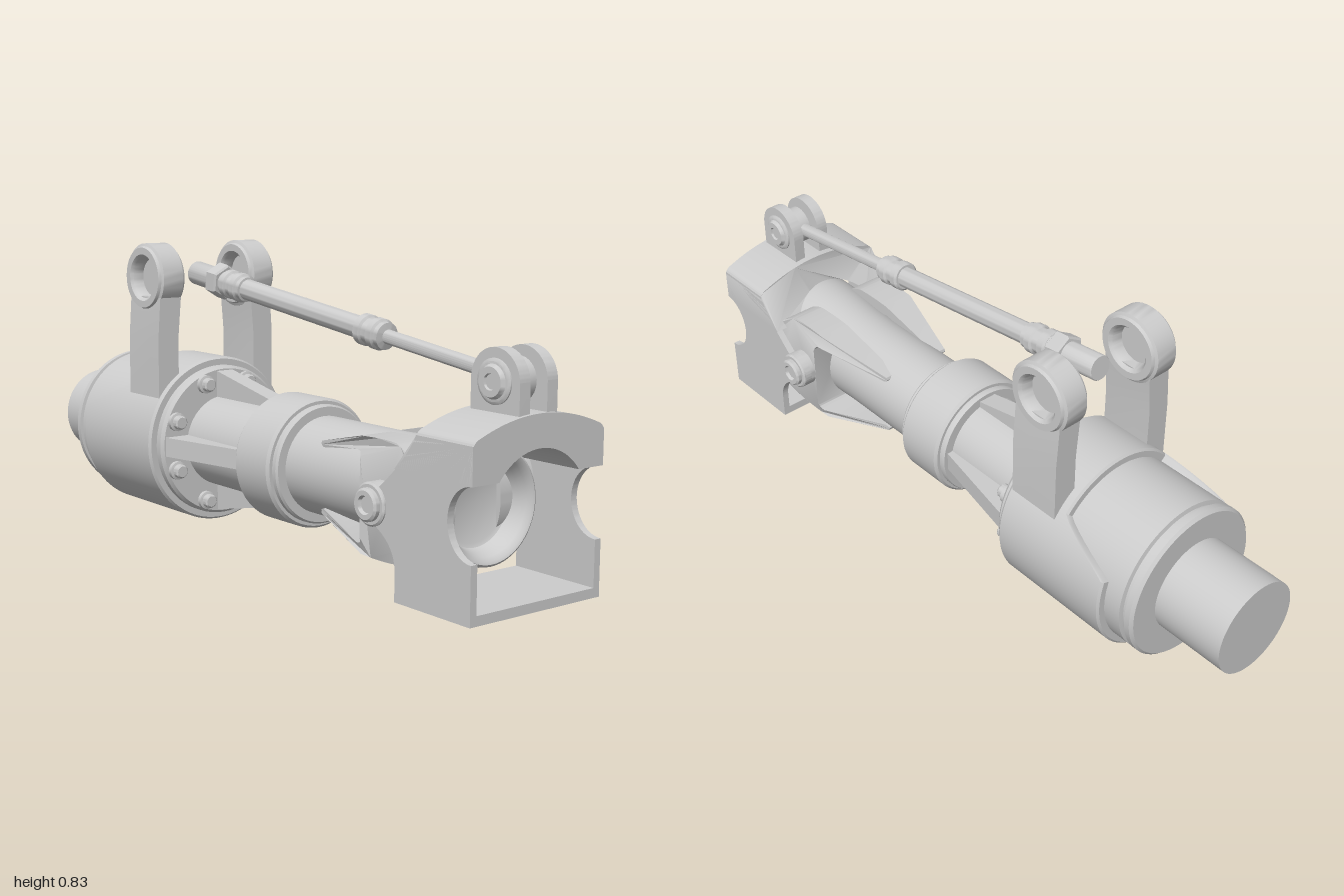
import * as THREE from 'three';
import { toCreasedNormals } from 'three/addons/utils/BufferGeometryUtils.js';

const CY = 0.25; // height of the main axis

export function createModel() {
  const model = new THREE.Group();
  const mat = new THREE.MeshStandardMaterial({ color: 0xcccccc, side: THREE.DoubleSide });

  const add = (name, geo, parent = model) => {
    const mesh = new THREE.Mesh(toCreasedNormals(geo, 0.6), mat);
    mesh.name = name;
    parent.add(mesh);
    return mesh;
  };
  // solid of revolution around z, from [radius, z] pairs
  const turned = (pts, sides = 64) =>
    new THREE.LatheGeometry(pts.map(([r, z]) => new THREE.Vector2(r, z)), sides).rotateX(Math.PI / 2);
  // turned solid laid along x, outer end pointing to side s
  const turnedX = (pts, s, sides = 40) => turned(pts, sides).rotateY(s * Math.PI / 2);
  const extrude = (shape, depth) =>
    new THREE.ExtrudeGeometry(shape, { depth, bevelEnabled: false, curveSegments: 24 });
  // (z, y) profile extruded from x0 to x1
  const sideways = (shape, x0, x1) => extrude(shape, x1 - x0).rotateY(-Math.PI / 2).translate(x1, 0, 0);
  const span = (s, a, b) => (s > 0 ? [a, b] : [-b, -a]);
  const poly = (pts) => new THREE.Shape(pts.map(([x, y]) => new THREE.Vector2(x, y)));

  // rear shaft and cylindrical housing
  add('rearShaft', turned([[0, -1], [0.135, -1], [0.135, -0.7]])).position.y = CY;
  add('housing', turned([
    [0.1, -0.785], [0.214, -0.785], [0.222, -0.777], [0.222, -0.76], [0.21, -0.757], [0.21, -0.745],
    [0.222, -0.742], [0.222, -0.29], [0.214, -0.28], [0.1, -0.28],
  ])).position.y = CY;

  // saddle wrapped around the housing, longer below than above
  const saddle = turned([
    [0.2, -0.69], [0.24, -0.69], [0.246, -0.684], [0.246, -0.318], [0.24, -0.31], [0.2, -0.31],
  ], 96);
  const sp = saddle.attributes.position;
  for (let i = 0; i < sp.count; i++) {
    if (sp.getZ(i) > -0.5) continue;
    const level = sp.getY(i) / Math.hypot(sp.getX(i), sp.getY(i));
    const t = THREE.MathUtils.clamp((level - 0.33) / 0.32, 0, 1);
    sp.setZ(i, sp.getZ(i) + 0.18 * t);
  }
  add('saddle', saddle).position.y = CY;

  // flange bolts
  for (let i = 0; i < 8; i++) {
    const a = (i + 0.5) * Math.PI / 4;
    const bolt = add('flangeBolt', turned([
      [0.027, -0.29], [0.027, -0.268], [0.02, -0.266], [0.02, -0.25], [0.016, -0.246], [0, -0.246]], 16));
    bolt.position.set(0.188 * Math.cos(a), CY + 0.188 * Math.sin(a), 0);
  }

  // main tube with flared, dished front end
  add('mainTube', turned([
    [0.135, -0.3], [0.135, 0.5], [0.138, 0.6], [0.147, 0.7], [0.152, 0.78], [0.152, 0.835],
    [0.149, 0.846], [0.143, 0.85], [0.136, 0.847], [0.127, 0.835], [0.119, 0.815], [0.113, 0.79], [0.103, 0.785], [0, 0.785],
  ])).position.y = CY;

  // collar
  add('collar', turned([
    [0.13, 0.008], [0.163, 0.008], [0.165, 0.012], [0.165, 0.026], [0.174, 0.026], [0.181, 0.034], [0.181, 0.172],
    [0.174, 0.18], [0.165, 0.18], [0.165, 0.194], [0.16, 0.2], [0.13, 0.2],
  ])).position.y = CY;

  // tapered ribs between collar and flange
  for (let i = 0; i < 4; i++) {
    const rib = add('rib', sideways(poly([[0.01, 0.1], [0.01, 0.15], [-0.285, 0.21], [-0.285, 0.1]]), -0.028, 0.028));
    rib.position.y = CY;
    rib.rotation.z = i * Math.PI / 2;
  }

  for (const s of [1, -1]) {
    // fork pad on the tube: rounded front, two prongs running back
    const pad = new THREE.Shape();
    pad.moveTo(0.33, 0.098);
    pad.lineTo(0.56, 0.15);
    pad.quadraticCurveTo(0.64, 0.155, 0.69, 0.15);
    pad.quadraticCurveTo(0.8, 0.12, 0.8, 0);
    pad.quadraticCurveTo(0.8, -0.12, 0.69, -0.15);
    pad.quadraticCurveTo(0.64, -0.155, 0.56, -0.15);
    pad.lineTo(0.33, -0.098);
    pad.quadraticCurveTo(0.32, -0.085, 0.34, -0.082);
    pad.lineTo(0.56, -0.118);
    pad.quadraticCurveTo(0.58, -0.118, 0.58, -0.1);
    pad.lineTo(0.58, 0.1);
    pad.quadraticCurveTo(0.58, 0.118, 0.56, 0.118);
    pad.lineTo(0.34, 0.082);
    pad.quadraticCurveTo(0.32, 0.085, 0.33, 0.098);
    const padGeo = sideways(pad, ...span(s, 0.075, 0.192));
    const pp = padGeo.attributes.position;
    for (let i = 0; i < pp.count; i++) {
      const z = pp.getZ(i), y = Math.abs(pp.getY(i));
      if (Math.abs(pp.getX(i)) < 0.15) continue;
      const taper = 0.08 * THREE.MathUtils.clamp((0.58 - z) / 0.25, 0, 1);
      const round = z > 0.5 ? 0.022 * THREE.MathUtils.clamp((y - 0.1) / 0.05, 0, 1) : 0;
      pp.setX(i, s * (0.192 - Math.max(taper, round)));
    }
    add('forkPad', padGeo).position.y = CY;

    // bracket side plate with front notch and pivot lobe
    const plate = new THREE.Shape();
    plate.moveTo(0.74, 0.025);
    plate.lineTo(1, 0.025);
    plate.lineTo(1, 0.17);
    plate.absellipse(1, 0.26, 0.08, 0.09, -Math.PI / 2, Math.PI / 2, true);
    plate.lineTo(1, 0.442);
    plate.lineTo(0.81, 0.442);
    plate.quadraticCurveTo(0.78, 0.38, 0.68, 0.297);
    plate.absarc(0.652, 0.25, 0.055, 1, Math.PI * 1.6, false);
    plate.quadraticCurveTo(0.74, 0.16, 0.74, 0.1);
    add('bracketSide', sideways(plate, ...span(s, 0.195, 0.215)));

    // pivot bolt
    const pivot = add('pivotBolt', turnedX([
      [0.055, 0.18], [0.055, 0.219], [0.05, 0.223], [0.042, 0.223], [0.042, 0.234], [0.036, 0.239],
      [0.024, 0.239], [0.02, 0.23], [0, 0.23]], s));
    pivot.position.set(0, CY, 0.652);

    // upright arm with ring on top
    const arm = poly([[0.135, 0.32], [0.204, 0.36], [0.204, 0.56], [0.196, 0.68], [0.125, 0.68], [0.135, 0.56]]
      .map(([x, y]) => [s * x, y]));
    add('mountArm', extrude(arm, 0.16).translate(0, 0, -0.482));
    const ring = add('mountRing', turnedX([
      [0, -0.008], [0.054, -0.008], [0.06, -0.037], [0.068, -0.045], [0.088, -0.045], [0.092, -0.037], [0.1, -0.033],
      [0.1, 0.033], [0.092, 0.037], [0.088, 0.045], [0.068, 0.045], [0.06, 0.037], [0.054, 0.008], [0, 0.008]], s, 48));
    ring.position.set(s * 0.16, 0.735, -0.405);

    // clevis lug and its bolt head
    const lug = new THREE.Shape();
    lug.moveTo(0.83, 0.47);
    lug.lineTo(0.99, 0.47);
    lug.lineTo(0.99, 0.57);
    lug.absarc(0.91, 0.566, 0.08, 0, Math.PI, false);
    add('clevisLug', sideways(lug, ...span(s, 0.028, 0.062)));
    const head = add('clevisBolt', turnedX([
      [0.055, 0.05], [0.055, 0.066], [0.048, 0.07], [0.042, 0.07], [0.036, 0.08], [0.02, 0.08], [0.018, 0.074], [0, 0.074]], s, 32));
    head.position.set(0, 0.566, 0.91);
  }

  // bracket bottom plate
  add('bracketFloor', new THREE.BoxGeometry(0.43, 0.025, 0.26).translate(0, 0.0375, 0.87));

  // arched bracket top, cut round the tube and sloping at the back
  const top = new THREE.Shape();
  top.moveTo(-0.215, 0.35);
  top.lineTo(-0.131, 0.35);
  top.absarc(0, CY, 0.165, Math.PI - 0.651, 0.651, true);
  top.lineTo(0.215, 0.35);
  top.lineTo(0.215, 0.435);
  top.quadraticCurveTo(0.213, 0.45, 0.195, 0.457);
  top.quadraticCurveTo(0, 0.537, -0.195, 0.457);
  top.quadraticCurveTo(-0.213, 0.45, -0.215, 0.435);
  const topGeo = extrude(top, 0.3).translate(0, 0, 0.7);
  const tp = topGeo.attributes.position;
  for (let i = 0; i < tp.count; i++) {
    if (tp.getZ(i) > 0.9) continue;
    const t = THREE.MathUtils.clamp((tp.getY(i) - 0.35) / 0.09, 0, 1);
    tp.setZ(i, 0.735 + 0.075 * t);
  }
  add('bracketTop', topGeo);

  // adjustable link rod between clevis and rear
  const link = new THREE.Group();
  link.name = 'linkRod';
  link.position.set(0, 0.566, 0.91);
  link.rotation.x = 0.13;
  model.add(link);
  add('rodEye', turnedX([
    [0, -0.026], [0.04, -0.026], [0.055, -0.018], [0.055, 0.018], [0.04, 0.026], [0, 0.026]], 1, 32), link);
  add('rodThin', turned([[0.019, -0.5], [0.019, -0.03]], 24), link);
  add('rodSleeve', turned([[0.03, -1.12], [0.03, -0.5]], 32), link);
  add('rodTip', turned([[0, -1.345], [0.033, -1.345], [0.035, -1.342], [0.035, -1.1]], 32), link);
  add('rodNut', turned([[0, -1.235], [0.046, -1.235], [0.052, -1.23], [0.052, -1.19], [0.046, -1.185], [0, -1.185]], 6), link);
  for (const z of [-0.5, -1.12])
    add('rodCollar', turned([
      [0.02, z - 0.055], [0.036, z - 0.055], [0.042, z - 0.05], [0.042, z - 0.03], [0.036, z - 0.025], [0.036, z - 0.005],
      [0.042, z], [0.042, z + 0.02], [0.036, z + 0.025], [0.036, z + 0.04], [0.018, z + 0.044]], 32), link);

  return model;
}
